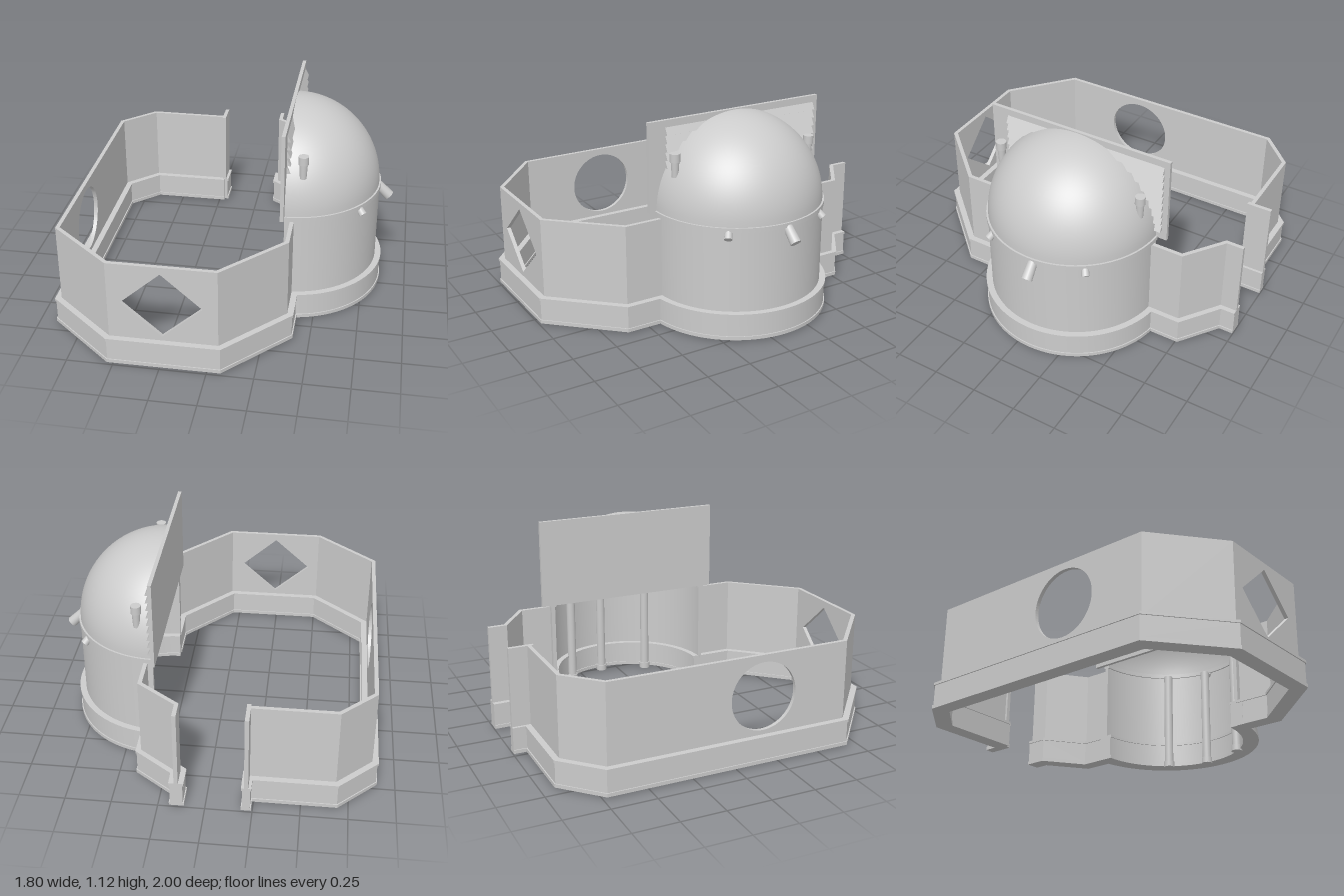
import * as THREE from 'three';
import { toCreasedNormals } from 'three/addons/utils/BufferGeometryUtils.js';

const GREY = new THREE.MeshStandardMaterial({ color: 0xcccccc, side: THREE.DoubleSide });
const CX = 0.325, CZ = -0.08; // axis of the domed tower

// Stacked layers of the base course: [bottom, top, change in half width]
const BASE_LAYERS = [[0.01, 0.03, 0], [0.03, 0.145, -0.006], [0.145, 0.16, 0]];

function add(parent, name, geometry, x = 0, y = 0, z = 0) {
  const mesh = new THREE.Mesh(geometry, GREY);
  mesh.name = name;
  mesh.position.set(x, y, z);
  parent.add(mesh);
  return mesh;
}

// Wall strips along a path of [x, z] points, with mitred corners
function wallRun(parent, name, points, half, y0, y1, holes = {}) {
  const pts = points.map(p => new THREE.Vector2(p[0], p[1]));
  const dirs = pts.slice(1).map((p, i) => p.clone().sub(pts[i]).normalize());
  const normal = d => new THREE.Vector2(-d.y, d.x);
  const slope = (d, other) => {
    if (!other) return 0;
    const m = normal(d).add(normal(other));
    return m.dot(d) / m.dot(normal(d));
  };
  dirs.forEach((d, i) => {
    const length = pts[i].distanceTo(pts[i + 1]);
    const shape = new THREE.Shape([[0, y0], [length, y0], [length, y1], [0, y1]]
      .map(p => new THREE.Vector2(p[0], p[1])));
    if (holes[i]) shape.holes.push(holes[i]);
    const geo = new THREE.ExtrudeGeometry(shape, { depth: 2 * half, bevelEnabled: false, curveSegments: 40 });
    geo.translate(0, 0, -half);
    const pos = geo.attributes.position;
    const start = slope(d, dirs[i - 1]), end = slope(d, dirs[i + 1]);
    for (let k = 0; k < pos.count; k++) {
      const x = pos.getX(k), z = pos.getZ(k);
      if (x < 1e-4) pos.setX(k, x + z * start);
      else if (x > length - 1e-4) pos.setX(k, x + z * end);
    }
    const n = normal(d);
    geo.applyMatrix4(new THREE.Matrix4().makeBasis(
      new THREE.Vector3(d.x, 0, d.y), new THREE.Vector3(0, 1, 0), new THREE.Vector3(n.x, 0, n.y)));
    geo.computeVertexNormals();
    add(parent, name, geo, pts[i].x, 0, pts[i].y);
  });
}

// Half ring opening towards -x
function halfRing(parent, name, inner, outer, y0, y1) {
  const shape = new THREE.Shape();
  shape.absarc(0, 0, outer, -Math.PI / 2, Math.PI / 2, false);
  shape.absarc(0, 0, inner, Math.PI / 2, -Math.PI / 2, true);
  const geo = new THREE.ExtrudeGeometry(shape, { depth: y1 - y0, bevelEnabled: false, curveSegments: 40 });
  geo.rotateX(-Math.PI / 2);
  add(parent, name, toCreasedNormals(geo, 0.5), CX, y0, CZ);
}

function createWalls() {
  const walls = new THREE.Group();
  walls.name = 'courtyardWalls';
  const mainRun = [[-0.215, -0.885], [-0.675, -0.885], [-0.857, -0.71], [-0.857, 0.66],
    [-0.515, 0.95], [0.055, 0.95], [0.365, 0.615], [0.365, 0.4]];
  const doorRun = [[0.365, -0.56], [0.365, -0.745], [0.15, -0.9], [0.15, -1]];
  const jamb = [[-0.217, -1], [-0.217, -0.86]];

  // Round window in the long wall, diamond window in the front wall
  const round = new THREE.Path();
  round.absarc(0.875, 0.375, 0.19, 0, Math.PI * 2, true);
  const diamond = new THREE.Path([[0.065, 0.375], [0.28, 0.565], [0.495, 0.375], [0.28, 0.185]]
    .map(p => new THREE.Vector2(p[0], p[1])));

  const runs = [[mainRun, 0.045, { 2: round, 3: null, 4: diamond }], [doorRun, 0.04, {}], [jamb, 0.027, {}]];
  for (const [path, half, holes] of runs) {
    wallRun(walls, 'wall', path, 0.011, 0.15, 0.605, holes);
    for (const [y0, y1, inset] of BASE_LAYERS) wallRun(walls, 'wallBase', path, half + inset, y0, y1);
  }
  return walls;
}

function createTower() {
  const tower = new THREE.Group();
  tower.name = 'tower';
  halfRing(tower, 'towerWall', 0.468, 0.49, 0.15, 0.612);
  for (const [y0, y1, inset] of BASE_LAYERS) {
    halfRing(tower, 'towerBase', 0.435 - inset, 0.525 + inset, y0, y1);
  }
  halfRing(tower, 'domeRing', 0.46, 0.497, 0.61, 0.635);

  // Dome shell, a quarter sphere with an inner skin
  const profile = [];
  const N = 24;
  for (let i = 0; i <= N; i++) {
    const a = i / N * Math.PI / 2;
    profile.push(new THREE.Vector2(Math.max(0, 0.487 * Math.cos(a)), 0.487 * Math.sin(a)));
  }
  const dome = new THREE.LatheGeometry(profile, 48, 0, Math.PI);
  add(tower, 'dome', dome, CX, 0.633, CZ);
  add(tower, 'domeInside', dome.clone().scale(0.96, 0.96, 0.96), CX, 0.633, CZ);

  // Flat screen behind the dome, with louvre slats on its outer side
  add(tower, 'backScreen', new THREE.BoxGeometry(0.02, 0.5, 1.08), 0.315, 0.875, -0.09);
  const wedge = new THREE.Shape([[0, 0], [0.022, 0], [0, 0.04]].map(p => new THREE.Vector2(p[0], p[1])));
  const slat = new THREE.ExtrudeGeometry(wedge, { depth: 0.95, bevelEnabled: false });
  for (let i = 0; i < 9; i++) add(tower, 'louvreSlat', slat, 0.324, 0.68 + i * 0.046, -0.6);

  // Capped vents on the dome's flanks
  for (const [z, top] of [[0.343, 0.97], [-0.513, 0.93]]) {
    add(tower, 'ventPipe', new THREE.CylinderGeometry(0.024, 0.018, 0.11, 20), 0.413, top - 0.075, z);
    add(tower, 'ventCap', new THREE.CylinderGeometry(0.028, 0.028, 0.045, 20), 0.413, top - 0.0225, z);
  }

  // Downpipes inside the drum, each with an angled spout outside
  for (const [angle, radius, length, r, y] of [
    [-0.05, 0.03, 0.11, 0.51, 0.575], [0.63, 0.022, 0.06, 0.49, 0.6], [-0.63, 0.022, 0.06, 0.49, 0.6]]) {
    const drain = new THREE.Group();
    drain.name = 'drain';
    drain.position.set(CX, 0, CZ);
    drain.rotation.y = -angle;
    add(drain, 'downpipe', new THREE.CylinderGeometry(0.026, 0.026, 0.6, 20), 0.425, 0.302, 0);
    add(drain, 'pipeFoot', new THREE.CylinderGeometry(0.032, 0.032, 0.035, 20), 0.425, 0.0175, 0);
    const spout = new THREE.CylinderGeometry(radius, radius * 0.85, length, 20);
    add(drain, 'spout', spout, r, y, 0).rotation.z = -Math.PI * 0.75;
    tower.add(drain);
  }
  return tower;
}

export function createModel() {
  const model = new THREE.Group();
  model.name = 'domedCourtyard';
  model.add(createWalls(), createTower());
  return model;
}
